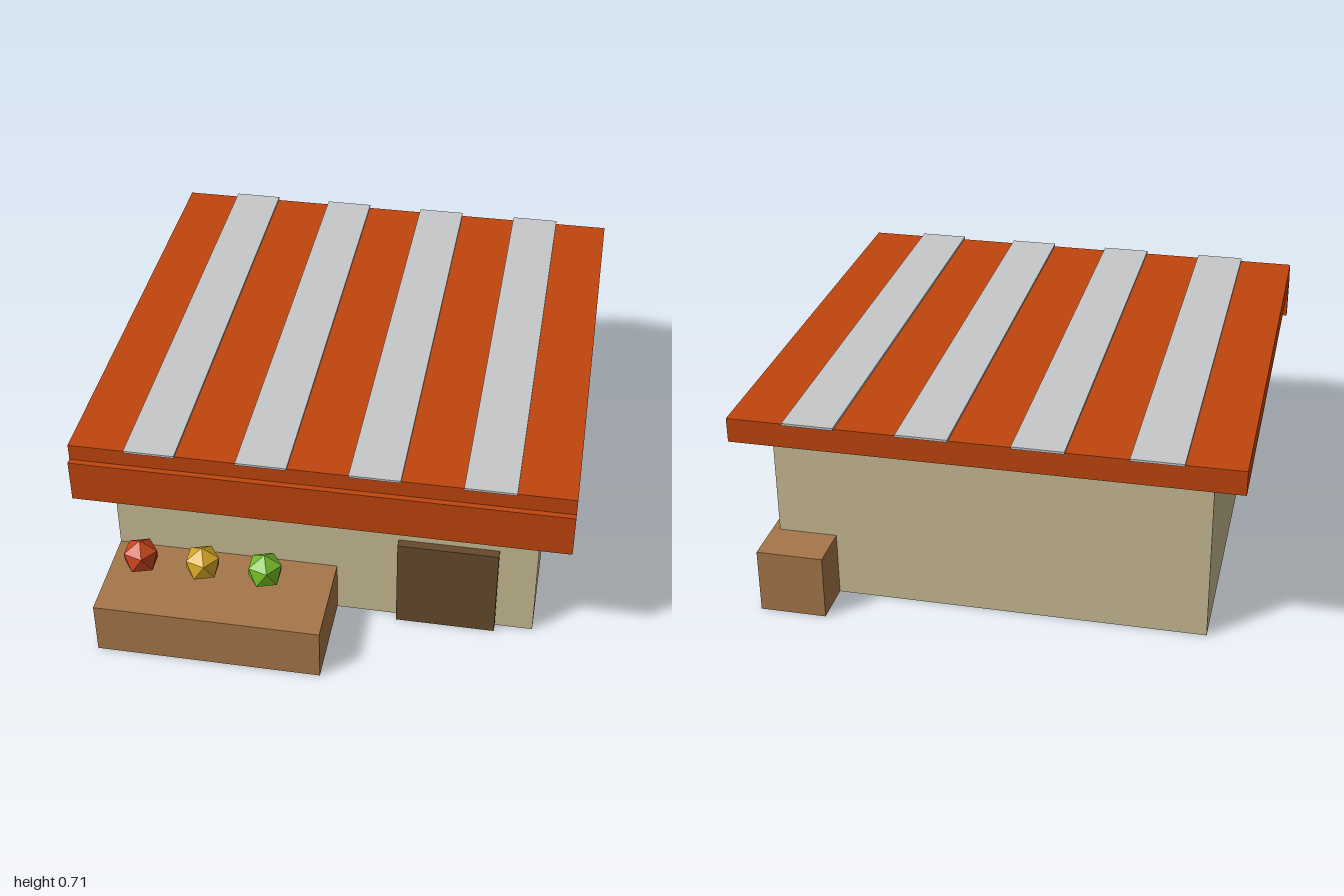
import * as THREE from 'three';

const mat = (name, color) => {
  const m = new THREE.MeshStandardMaterial({ color });
  m.name = name;
  return m;
};

export function createModel() {
  const group = new THREE.Group();
  const wall = mat('sand wall', 0xc9bc94);
  const roofRed = mat('rust red', 0xc0450d);
  const stripe = mat('light grey', 0xc6c8ca);
  const wood = mat('light wood', 0xa67749);
  const darkWood = mat('dark wood', 0x664a2d);
  const fruitRed = mat('fruit red', 0xc4441a);
  const fruitYellow = mat('fruit yellow', 0xd4a524);
  const fruitGreen = mat('fruit green', 0x73b928);
  fruitRed.flatShading = fruitYellow.flatShading = fruitGreen.flatShading = true;

  // Box given by its extents along each axis
  const box = (name, material, [x0, x1], [y0, y1], [z0, z1]) => {
    const mesh = new THREE.Mesh(new THREE.BoxGeometry(x1 - x0, y1 - y0, z1 - z0), material);
    mesh.position.set((x0 + x1) / 2, (y0 + y1) / 2, (z0 + z1) / 2);
    mesh.name = name;
    group.add(mesh);
  };

  // Building
  box('walls', wall, [-0.745, 0.743], [0, 0.617], [-0.842, 0.655]);
  box('door', darkWood, [0.26, 0.61], [0, 0.352], [0.64, 0.687]);

  // Flat roof with hanging front fascia
  box('roof', roofRed, [-0.855, 0.855], [0.617, 0.703], [-0.951, 0.76]);
  box('fascia', roofRed, [-0.855, 0.855], [0.487, 0.643], [0.749, 0.781]);

  // Roof stripes
  for (let i = 0; i < 4; i++) {
    const x = -0.573 + i * 0.382;
    box('roofStripe', stripe, [x - 0.087, x + 0.087], [0.703, 0.711], [-0.961, 0.769]);
  }

  // Market counter and rear crate
  box('counter', wood, [-0.745, 0.043], [0, 0.195], [0.655, 1]);
  box('crate', wood, [0.54, 0.77], [0, 0.228], [-1, -0.77]);

  // Faceted fruit above the counter, one vertex pointing up
  const fruitGeometry = new THREE.IcosahedronGeometry(0.067, 0);
  fruitGeometry.rotateZ(-Math.atan(2 / (1 + Math.sqrt(5))));
  [fruitRed, fruitYellow, fruitGreen].forEach((material, i) => {
    const fruit = new THREE.Mesh(fruitGeometry, material);
    fruit.position.set(-0.615 + i * 0.219, 0.3, 0.826);
    fruit.name = 'fruit';
    group.add(fruit);
  });

  return group;
}
